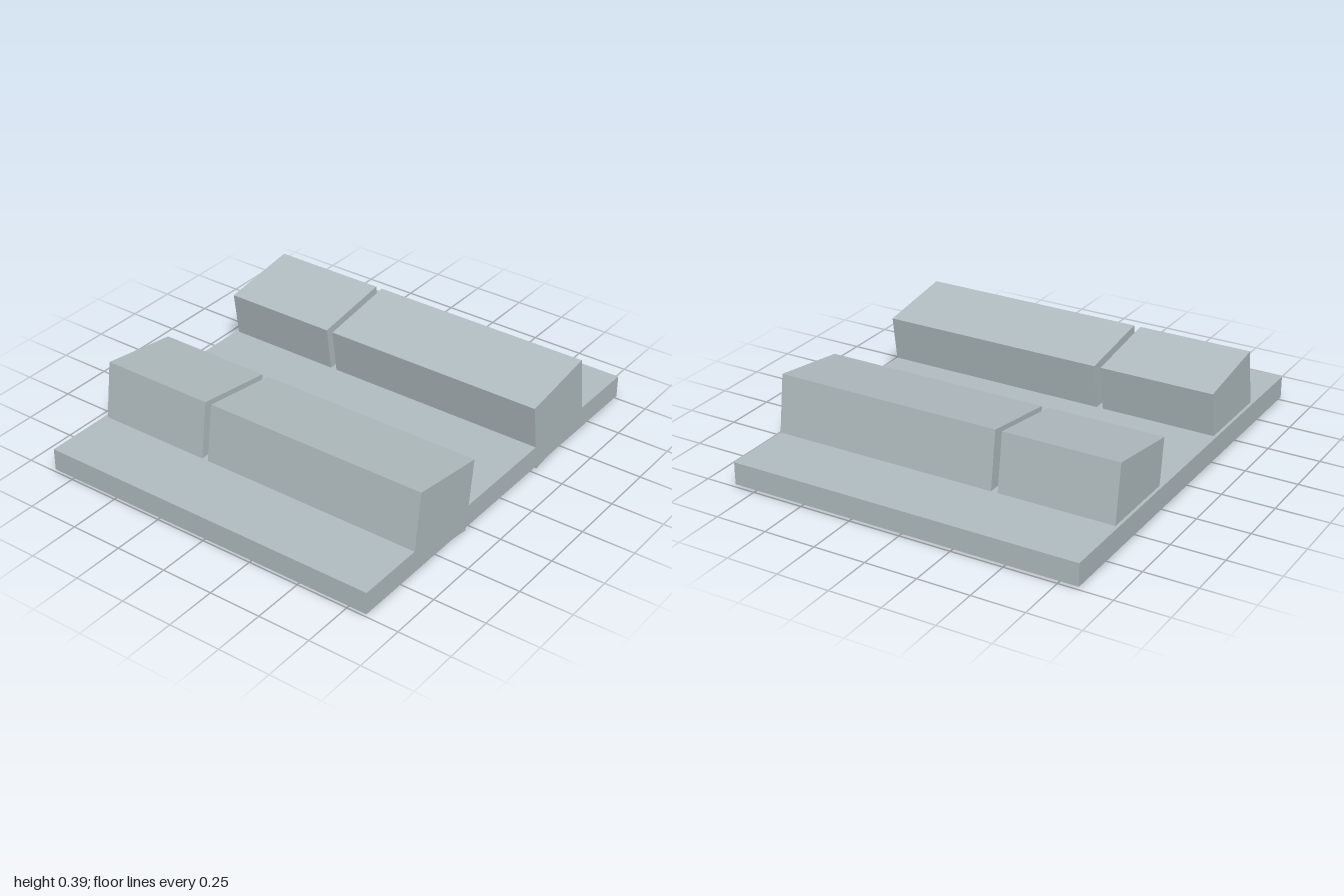
import * as THREE from 'three';

export function createModel() {
  const model = new THREE.Group();
  const paleGrey = new THREE.MeshStandardMaterial({ color: 0xb3bfc3 });
  paleGrey.name = 'paleGrey';

  const addBox = (name, w, h, d, x, y, z, tilt = 0) => {
    const mesh = new THREE.Mesh(new THREE.BoxGeometry(w, h, d), paleGrey);
    mesh.name = name;
    mesh.position.set(x, y, z);
    mesh.rotation.z = tilt;
    model.add(mesh);
  };

  // Flat slab
  addBox('baseSlab', 2, 0.107, 1.694, 0, 0.0675, 0);

  // Two mirrored rows of blocks, leaning inwards and sunk through the slab
  const tilt = THREE.MathUtils.degToRad(8);
  for (const [side, s] of [['left', 1], ['right', -1]]) {
    for (const [part, front, back] of [['FrontBlock', 0.847, -0.245], ['BackBlock', -0.277, -0.832]]) {
      addBox(side + part, 0.395, 0.341, front - back, s * 0.4575, 0.1963, (front + back) / 2, s * tilt);
    }
  }
  return model;
}
